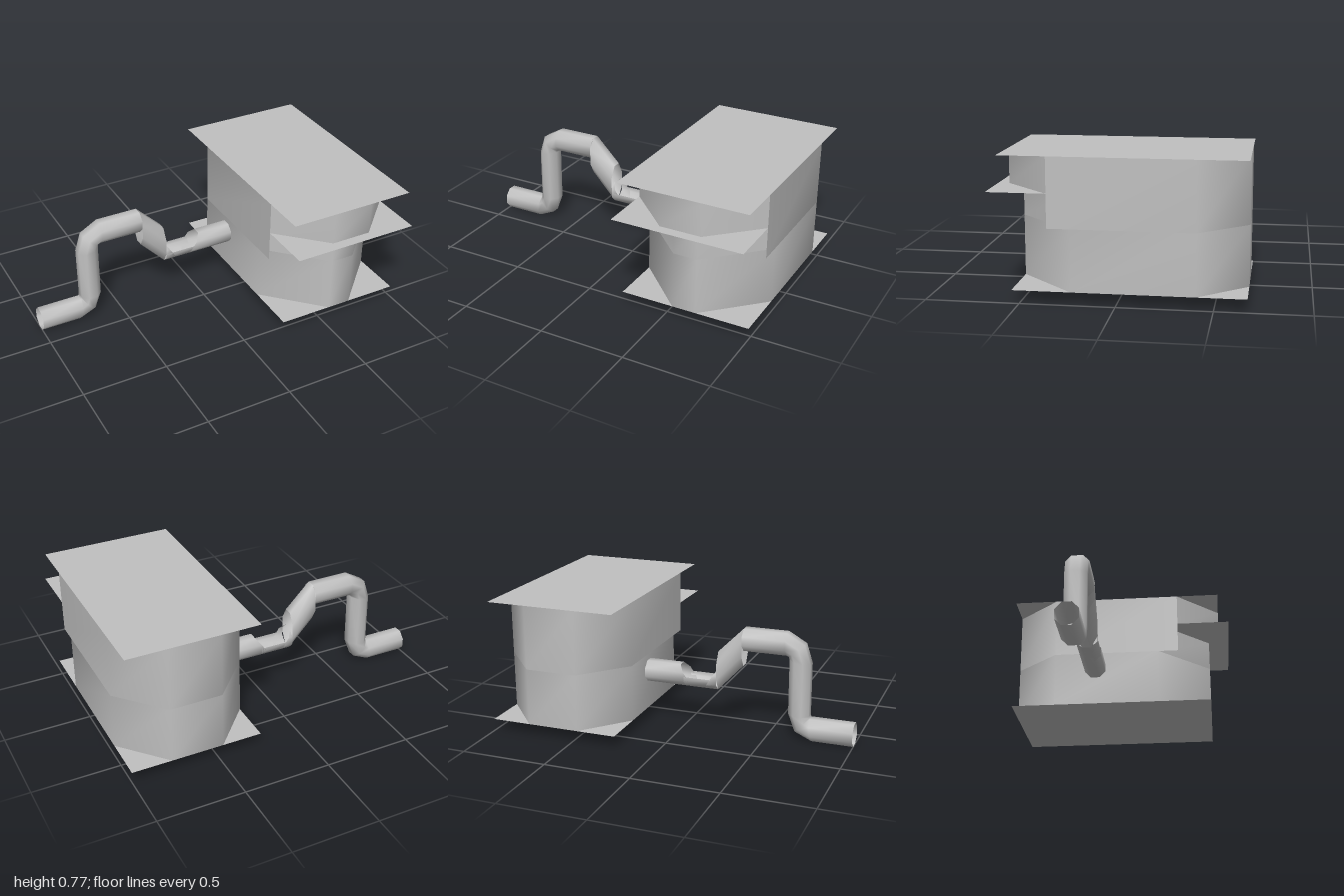
import * as THREE from 'three';

const metal = new THREE.MeshStandardMaterial({ color: 0xc0c0c0, side: THREE.DoubleSide });
metal.name = 'grey metal';

// Joins equal-length rows of [x, y, z] points into one smooth skin.
function skin(name, rows, closed) {
  const n = rows[0].length, index = [];
  for (let i = 0; i < rows.length - 1; i++) {
    for (let j = 0; j < (closed ? n : n - 1); j++) {
      const k = (j + 1) % n, a = i * n + j, b = i * n + k, c = a + n, d = b + n;
      index.push(a, c, b, b, c, d);
    }
  }
  const geo = new THREE.BufferGeometry();
  geo.setAttribute('position', new THREE.Float32BufferAttribute(rows.flat(2), 3));
  geo.setIndex(index);
  geo.computeVertexNormals();
  const mesh = new THREE.Mesh(geo, metal);
  mesh.name = name;
  return mesh;
}

// Upright wall over a plan outline of [x, z] points.
function wall(name, plan, y0, y1, closed = false) {
  return skin(name, [y1, y0].map(y => plan.map(([x, z]) => [x, y, z])), closed);
}

// Horizontal sheet across the full body width.
function sheet(name, y, z0, z1) {
  const mesh = new THREE.Mesh(new THREE.PlaneGeometry(0.76, z1 - z0), metal);
  mesh.name = name;
  mesh.rotation.x = -Math.PI / 2;
  mesh.position.set(0.62, y, (z0 + z1) / 2);
  return mesh;
}

// Eight-sided pipe; each section is [topX, topY, bottomX, bottomY].
function pipe(name, sections, lowerHalf = false) {
  const r = 0.062, s = 1 / Math.cos(Math.PI / 8);
  const angles = lowerHalf
    ? [90, 112.5, 157.5, 202.5, 247.5, 270]
    : Array.from({ length: 8 }, (_, i) => 22.5 + i * 45);
  const rows = sections.map(([ax, ay, bx, by]) => angles.map(deg => {
    const t = THREE.MathUtils.degToRad(deg);
    const side = deg % 90 === 0;
    const u = side ? 0 : Math.cos(t) * s, v = Math.sin(t) * (side ? 1 : s);
    return [(ax + bx) / 2 + u * (ax - bx) / 2, (ay + by) / 2 + u * (ay - by) / 2, -0.16 + v * r];
  }));
  return skin(name, rows, !lowerHalf);
}

export function createModel() {
  const model = new THREE.Group();
  model.name = 'tank with pipe';

  // Plan outlines of the tank
  const back = [[1, -0.41], [0.77, -0.67], [0.47, -0.67], [0.24, -0.41]];
  const front = [[0.24, 0.23], [0.55, 0.54], [0.69, 0.54], [1, 0.23]];
  const lip = [[0.24, 0.35], [0.5, 0.605], [0.74, 0.605], [1, 0.35]];

  // Tank walls
  model.add(
    wall('lowerWall', [...back, ...front], 0.07, 0.4, true),
    wall('frontWall', front, 0.4, 0.58),
    wall('upperWall', [[1, 0.35], ...back, [0.24, 0.35]], 0.4, 0.77),
    wall('lipWall', lip, 0.58, 0.77)
  );

  // Flat sheets
  model.add(
    sheet('topSheet', 0.77, -0.67, 0.605),
    sheet('lipSheet', 0.58, 0.35, 0.665),
    sheet('bottomSheet', 0.07, -0.67, 0.54)
  );

  // Bent outlet pipe
  model.add(
    pipe('outletPipe', [
      [-1, 0.13, -1, 0], [-0.745, 0.13, -0.76, 0], [-0.742, 0.135, -0.66, 0.045],
      [-0.74, 0.145, -0.62, 0.15], [-0.74, 0.45, -0.62, 0.47], [-0.705, 0.56, -0.615, 0.485],
      [-0.6, 0.62, -0.6, 0.49], [-0.35, 0.62, -0.35, 0.49]
    ]),
    pipe('slopingPipe', [[-0.35, 0.62, -0.35, 0.4], [-0.2, 0.47, -0.2, 0.24]]),
    pipe('troughEnd', [[-0.2, 0.365, -0.2, 0.24], [-0.199, 0.365, -0.12, 0.24]]),
    pipe('openTrough', [[-0.2, 0.365, -0.2, 0.24], [0, 0.365, 0, 0.24]], true),
    pipe('inletPipe', [[0.03, 0.365, -0.06, 0.24], [0.24, 0.365, 0.24, 0.24]])
  );
  return model;
}
